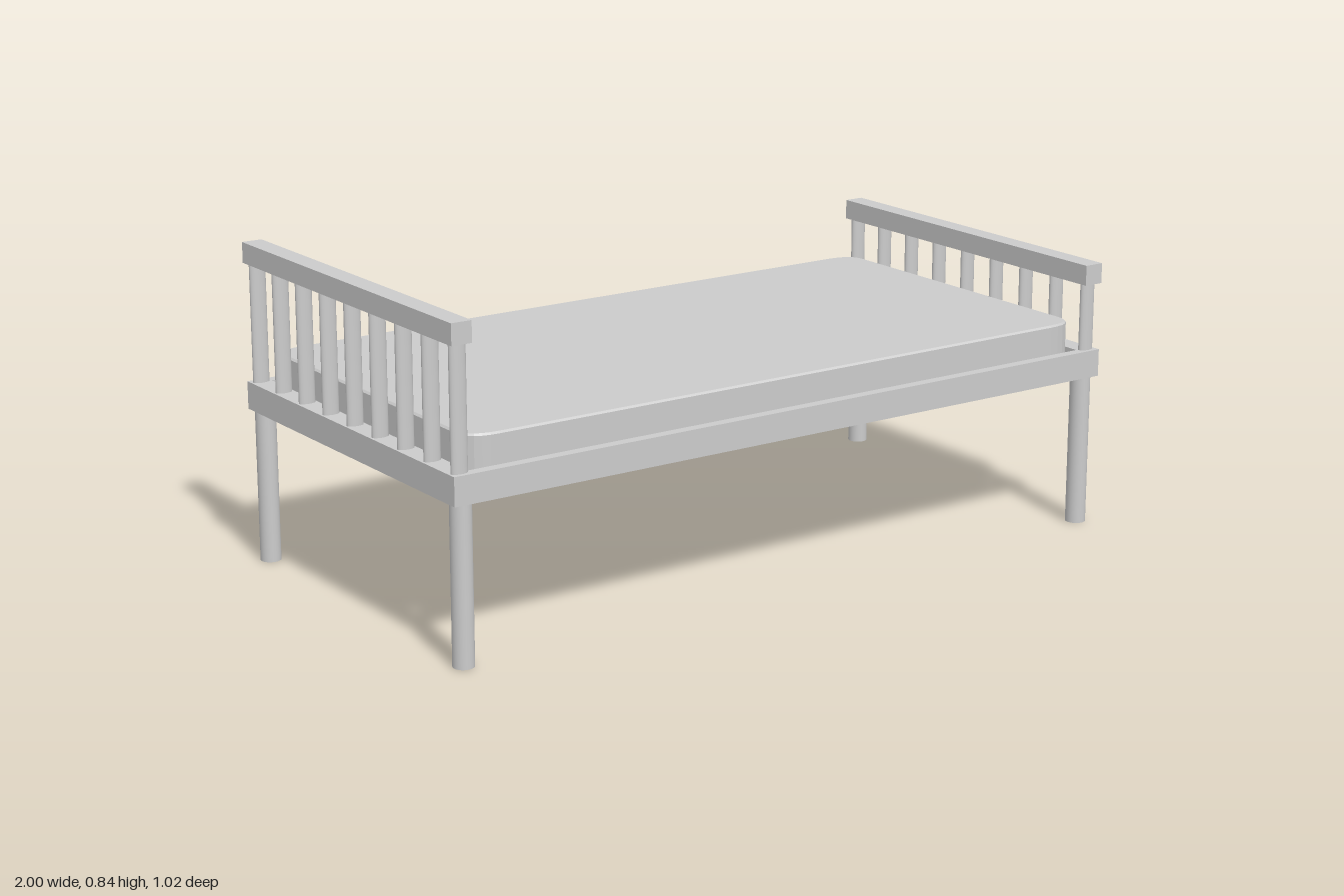
import * as THREE from 'three';

export function createModel() {
  const bed = new THREE.Group();
  const mat = new THREE.MeshStandardMaterial({ color: 0xcccccc });

  const add = (name, geometry, x, y, z) => {
    const mesh = new THREE.Mesh(geometry, mat);
    mesh.name = name;
    mesh.position.set(x, y, z);
    bed.add(mesh);
    return mesh;
  };
  // Box given by its lower and upper corners
  const box = (name, [x0, y0, z0], [x1, y1, z1]) =>
    add(name, new THREE.BoxGeometry(x1 - x0, y1 - y0, z1 - z0),
      (x0 + x1) / 2, (y0 + y1) / 2, (z0 + z1) / 2);

  const railBottom = 0.405, railTop = 0.478, halfWidth = 0.51;

  // Side rails of the frame
  for (const s of [-1, 1]) {
    const z = s * 0.496;
    box('sideRail', [-0.945, railBottom, z - 0.014], [0.945, railTop, z + 0.014]);
  }

  // Headboard (-x) and footboard (+x): end rail, top rail, oval slats
  for (const [name, s, top] of [['headboard', -1, 0.843], ['footboard', 1, 0.713]]) {
    const x0 = Math.min(s, s * 0.945), x1 = Math.max(s, s * 0.945);
    box(name + 'EndRail', [x0, railBottom, -halfWidth], [x1, railTop, halfWidth]);
    box(name + 'TopRail', [x0, top - 0.054, -halfWidth], [x1, top, halfWidth]);
    const height = top - 0.054 - railTop;
    const slat = new THREE.CylinderGeometry(0.0125, 0.0125, height, 20);
    slat.scale(1.8, 1, 1);
    for (let i = -4; i <= 4; i++) {
      add(name + 'Slat', slat, s * 0.972, railTop + height / 2, i * 0.1217);
    }
  }

  // Round legs
  const leg = new THREE.CylinderGeometry(0.027, 0.027, railBottom, 24);
  for (const [x, z] of [[-0.967, 0.481], [-0.967, -0.48], [0.963, 0.481], [0.963, -0.464]]) {
    add('leg', leg, x, railBottom / 2, z);
  }

  // Mattress: rounded rectangle with a slightly eased edge
  const bevel = 0.005, a = 0.94 - bevel, b = 0.48 - bevel, rx = 0.08, rz = 0.055;
  const outline = new THREE.Shape();
  outline.moveTo(-a + rx, -b);
  outline.lineTo(a - rx, -b);
  outline.quadraticCurveTo(a, -b, a, -b + rz);
  outline.lineTo(a, b - rz);
  outline.quadraticCurveTo(a, b, a - rx, b);
  outline.lineTo(-a + rx, b);
  outline.quadraticCurveTo(-a, b, -a, b - rz);
  outline.lineTo(-a, -b + rz);
  outline.quadraticCurveTo(-a, -b, -a + rx, -b);
  const bottom = 0.455, topY = 0.557;
  const mattress = new THREE.ExtrudeGeometry(outline, {
    depth: topY - bottom - 2 * bevel, curveSegments: 6,
    bevelSize: bevel, bevelThickness: bevel, bevelSegments: 1,
  });
  mattress.rotateX(-Math.PI / 2);
  add('mattress', mattress, 0, bottom + bevel, 0);

  return bed;
}
